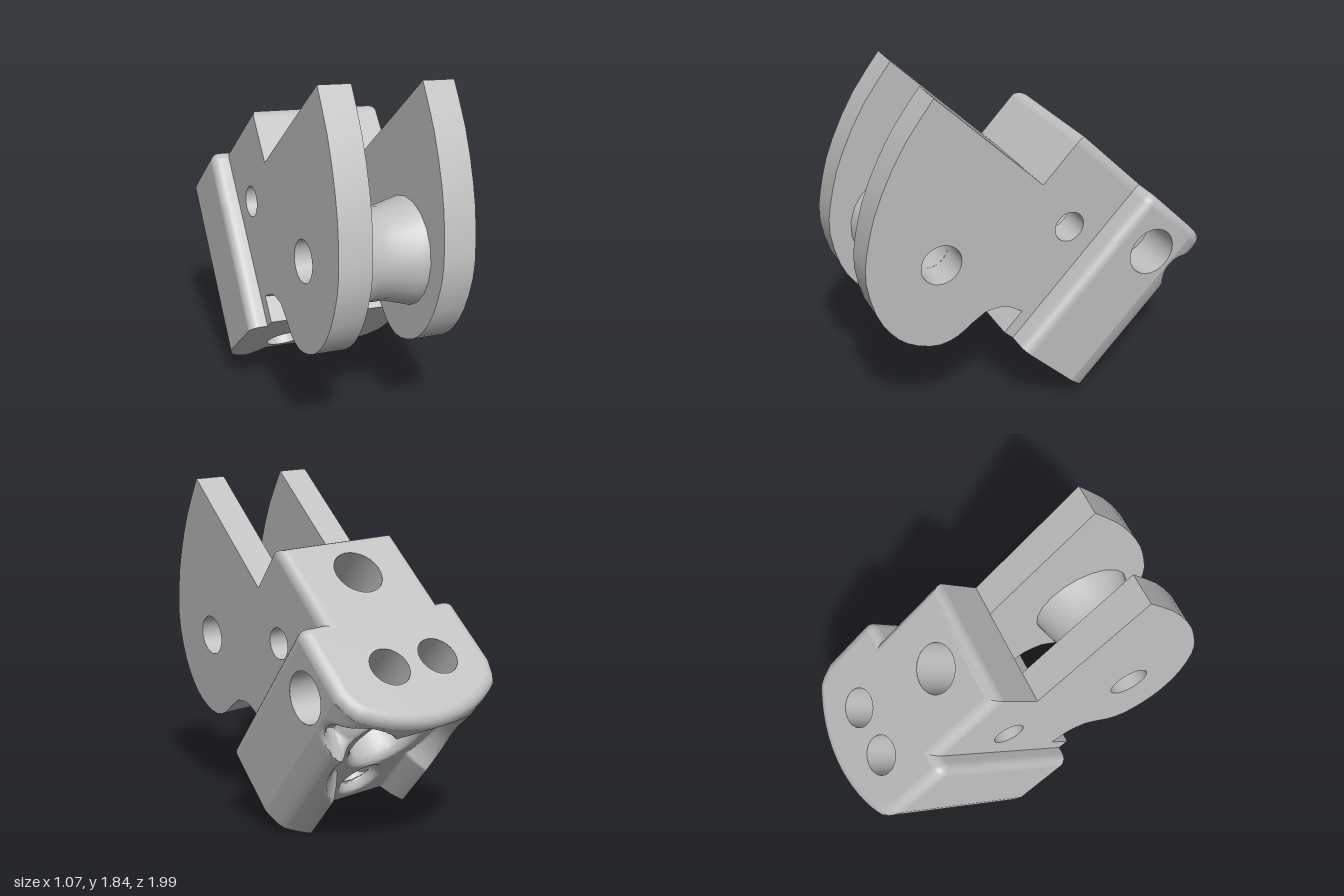
import * as THREE from 'three';
import { toCreasedNormals } from 'three/addons/utils/BufferGeometryUtils.js';

// Local axes: X across the fork, Y along the block, Z from underside to fork
const LEFT = 0.493, RIGHT = -0.447, MID = (LEFT + RIGHT) / 2, NECK = 0.355;
const Y0 = 0.2, Y1 = 0.925, YB = 1.185, BEVEL = 0.055;
const SIDE_Z = 0.367, SHOULDER = 0.417, BLOCK_Z = 0.9, FLOOR_Z = 0.484;
const grey = new THREE.MeshStandardMaterial({ color: 0xc0c0c0, side: THREE.DoubleSide });
grey.name = 'plain grey';

const lerp = THREE.MathUtils.lerp;
const ramp = (a, b, v) => THREE.MathUtils.clamp((v - a) / (b - a), 0, 1);
// Curved back with softened corners
function arcZ(x) {
  const u = Math.abs(x - MID);
  return 0.49 - Math.sqrt(0.5256 - u * u) + 0.08 * ramp(0.41, 0.47, u) ** 2;
}

// Underside: curved back, keyhole recess, round pockets
function undersideZ(x, y) {
  const big = Math.hypot(x, y - 0.77), small = Math.hypot(x, y - 0.38);
  const d = Math.min(y < 0.77 ? Math.abs(x) - 0.265 : 1, big - 0.36);
  let z = lerp(arcZ(x), -0.04, ramp(0.045, -0.045, d));
  const pocket = Math.hypot(x - 0.345, y - 1.01);
  z = lerp(z, Math.max(z, 0.03), ramp(0.15, 0.1, pocket) * ramp(-0.03, 0.03, d));
  z = lerp(z, 0.01, ramp(0.25, 0.2, big) ** 2);
  z = lerp(z, 0.3, ramp(0.205, 0.165, big));
  return lerp(z, 0.01, ramp(0.14, 0.095, small) ** 2);
}

function underside() {
  const nx = 130, ny = 140, pos = [], index = [];
  for (let j = 0; j <= ny; j++) for (let i = 0; i <= nx; i++) {
    const x = lerp(RIGHT, LEFT, i / nx), y = lerp(Y0, YB, j / ny);
    pos.push(x, y, undersideZ(x, y));
  }
  for (let j = 0; j < ny; j++) for (let i = 0; i < nx; i++) {
    const x = lerp(RIGHT, LEFT, (i + 0.5) / nx), y = lerp(Y0, YB, (j + 0.5) / ny);
    if (Math.hypot(x, y - 0.38) < 0.09) continue;
    const a = j * (nx + 1) + i, b = a + 1, c = a + nx + 1, e = c + 1;
    index.push(a, c, b, b, c, e);
  }
  const g = new THREE.BufferGeometry();
  g.setAttribute('position', new THREE.Float32BufferAttribute(pos, 3));
  g.setIndex(index);
  return toCreasedNormals(g, 0.8);
}

// Skin through rows of [x, y, z] points
function skin(rows) {
  const n = rows[0].length, index = [];
  for (let j = 0; j < rows.length - 1; j++) for (let i = 0; i < n - 1; i++) {
    const a = j * n + i, b = a + 1, c = a + n, d = c + 1;
    index.push(b, a, c, d, b, c);
  }
  const g = new THREE.BufferGeometry();
  g.setAttribute('position', new THREE.Float32BufferAttribute(rows.flat(2), 3));
  g.setIndex(index);
  return toCreasedNormals(g, 0.6);
}

// Half outline from a side, over the rounded shoulder, to the neck
function shoulder(edge) {
  const pts = [], r = SHOULDER - SIDE_Z;
  for (let i = 0; i <= 5; i++) {
    const a = (i / 5) * Math.PI / 2;
    pts.push([edge - r + r * Math.cos(a), SIDE_Z + r * Math.sin(a)]);
  }
  return [...pts, [NECK, SHOULDER]];
}
const mirror = (pts) => pts.map(([x, z]) => [-x, z]).reverse();
const leftShoulder = shoulder(LEFT), rightShoulder = mirror(shoulder(-RIGHT));
const over = [...leftShoulder, [NECK, BLOCK_Z], [-NECK, BLOCK_Z], ...rightShoulder];
// Sampled edge along the bottom, from right to left
const bottom = (rule, n) => Array.from({ length: n + 1 }, (_, i) => {
  const x = lerp(RIGHT, LEFT, i / n);
  return [x, rule(x)];
});
const full = [...over, ...bottom(arcZ, 36)];

// Move a closed outline inwards by d
function inset(pts, d) {
  const n = pts.length;
  return pts.map(([x, z], i) => {
    const p = pts[(i + n - 1) % n], q = pts[(i + 1) % n];
    const u = new THREE.Vector2(x - p[0], z - p[1]).normalize();
    const v = new THREE.Vector2(q[0] - x, q[1] - z).normalize();
    const k = d / Math.max(0.4, 1 + u.dot(v));
    return [x - (u.y + v.y) * k, z + (u.x + v.x) * k];
  });
}

const at = (pts, y) => pts.map(([x, z]) => [x, y, z]);
const circle = (x, y, r) => new THREE.Path().absarc(x, y, r, 0, Math.PI * 2, true);
function shapeOf(pts, holes = []) {
  const s = new THREE.Shape(pts.map(([x, y]) => new THREE.Vector2(x, y)));
  s.holes = holes.map((h) => circle(...h));
  return s;
}
// Flat end lying across the block at height y
function cap(pts, y, holes) {
  const s = shapeOf(pts.map(([x, z]) => [x, -z]), holes.map(([x, z, r]) => [x, -z, r]));
  return new THREE.ShapeGeometry(s, 24).rotateX(-Math.PI / 2).translate(0, y, 0);
}
const tube = (r, len) => new THREE.CylinderGeometry(r, r, len, 32, 1, true);
const spline = (pts, n) => new THREE.SplineCurve(pts.map(([z, y]) => new THREE.Vector2(z, y)))
  .getPoints(n).map((p) => [p.x, p.y]);

export function createModel() {
  const root = new THREE.Group();
  root.name = 'forkBracket';
  const body = new THREE.Group();
  body.name = 'bracketBody';
  root.add(body);
  const add = (name, geometry) => {
    const m = new THREE.Mesh(geometry, grey);
    m.name = name;
    body.add(m);
    return m;
  };
  const top = YB + BEVEL;
  const bolts = [[-0.147, 0.1, 0.105], [0.147, 0.1, 0.105]];
  const neckHole = [0, 0.667, 0.13];

  // Base shoulders, head block and its rounded end
  for (const half of [leftShoulder, rightShoulder]) add('baseShoulder', skin([at(half, Y0), at(half, Y1)]));
  add('headBlock', skin([at(over, Y1), at(over, YB)]));
  const rows = [];
  for (let i = 0; i <= 5; i++) {
    const a = (i / 5) * Math.PI / 2;
    const loop = inset(full, BEVEL * (1 - Math.cos(a)));
    rows.push(at([...loop, loop[0]], YB + BEVEL * Math.sin(a)));
  }
  add('headRoundedEdge', skin(rows));
  add('headEndFace', cap(inset(full, BEVEL), top, [...bolts, neckHole]));
  add('headLowerFace', cap([[NECK, SHOULDER], [NECK, BLOCK_Z], [-NECK, BLOCK_Z], [-NECK, SHOULDER]], Y1, [neckHole]));

  // Base end face follows the underside recess
  const foot = bottom((x) => undersideZ(x, Y0), 130);
  add('baseEndFace', cap([...leftShoulder, ...rightShoulder, ...foot], Y0, bolts));
  add('underside', underside());

  // Base side faces, one with a blind hole
  const z0 = arcZ(LEFT);
  const sideOutline = [[z0, Y0], [SIDE_Z, Y0], [SIDE_Z, YB], [z0, YB]];
  const sideFace = (holes, x) => new THREE.ShapeGeometry(shapeOf(sideOutline, holes), 24)
    .rotateY(-Math.PI / 2).translate(x, 0, 0);
  add('leftSide', sideFace([[0.17, 1.006, 0.13]], LEFT));
  add('rightSide', sideFace([], RIGHT));
  add('sideHoleWall', tube(0.13, 0.24).rotateZ(Math.PI / 2).translate(LEFT - 0.12, 1.006, 0.17));
  add('sideHoleBottom', new THREE.CircleGeometry(0.13, 32).rotateY(Math.PI / 2).translate(LEFT - 0.24, 1.006, 0.17));

  // Bores along the block
  for (const [x, z, r] of bolts) {
    add('boltBore', tube(r, 0.3).translate(x, Y0 + 0.15, z));
    add('boltBore', tube(r, 0.28).translate(x, top - 0.14, z));
  }
  add('neckBore', tube(0.13, top - Y1).translate(0, (top + Y1) / 2, 0.667));

  // Floor between the fork plates, with a drain hole
  add('forkFloor', new THREE.ExtrudeGeometry(
    shapeOf([[-NECK, Y0], [NECK, Y0], [NECK, Y1], [-NECK, Y1]], [[0, 0.38, 0.095]]),
    { depth: FLOOR_Z - 0.4, bevelEnabled: false, curveSegments: 24 }).translate(0, 0, 0.4));
  add('floorBore', tube(0.095, 0.42).rotateX(Math.PI / 2).translate(0, 0.38, 0.21));

  // Fork plates, outlined as (z, y)
  const rim = spline([[1.69, Y1], [1.655, 0.66], [1.57, 0.389], [1.47, 0.2], [1.36, 0.055], [1.19, -0.06],
    [1.04, -0.105], [0.91, -0.1], [0.78, -0.04], [0.717, 0.05], [0.695, 0.15]], 22);
  const heel = spline([[0.672, 0.239], [0.596, 0.316], [FLOOR_Z, 0.344]], 6);
  const plate = shapeOf([[0.4, Y1], ...rim, ...heel, [0.4, 0.344]],
    [[1.074, 0.316, 0.107], [0.598, 0.841, 0.082]]);
  for (const x of [NECK, -NECK + 0.17]) {
    const g = new THREE.ExtrudeGeometry(plate, { depth: 0.17, bevelEnabled: false, curveSegments: 20 });
    add('forkPlate', toCreasedNormals(g.rotateY(-Math.PI / 2).translate(x, 0, 0), 0.4));
  }

  // Waisted roller with a through bore
  const w = NECK - 0.17;
  const roller = [[0.107, -w], [0.275, -w], [0.262, -0.14], [0.235, -0.04], [0.235, 0.04], [0.262, 0.14],
    [0.275, w], [0.107, w], [0.107, -w]].map(([r, y]) => new THREE.Vector2(r, y));
  add('roller', toCreasedNormals(new THREE.LatheGeometry(roller, 20).rotateZ(-Math.PI / 2), 0.5))
    .position.set(0, 0.316, 1.074);

  // Tilt the bracket into its resting pose
  const L = new THREE.Vector3(0.987, -0.064, -0.146).normalize();
  const U = new THREE.Vector3(0.151, 0.68, 0.718).cross(L).normalize();
  const N = L.clone().cross(U);
  const m = new THREE.Matrix4().makeBasis(L, U, N).setPosition(L.clone().multiplyScalar(-0.037));
  m.decompose(body.position, body.quaternion, body.scale);
  return root;
}
